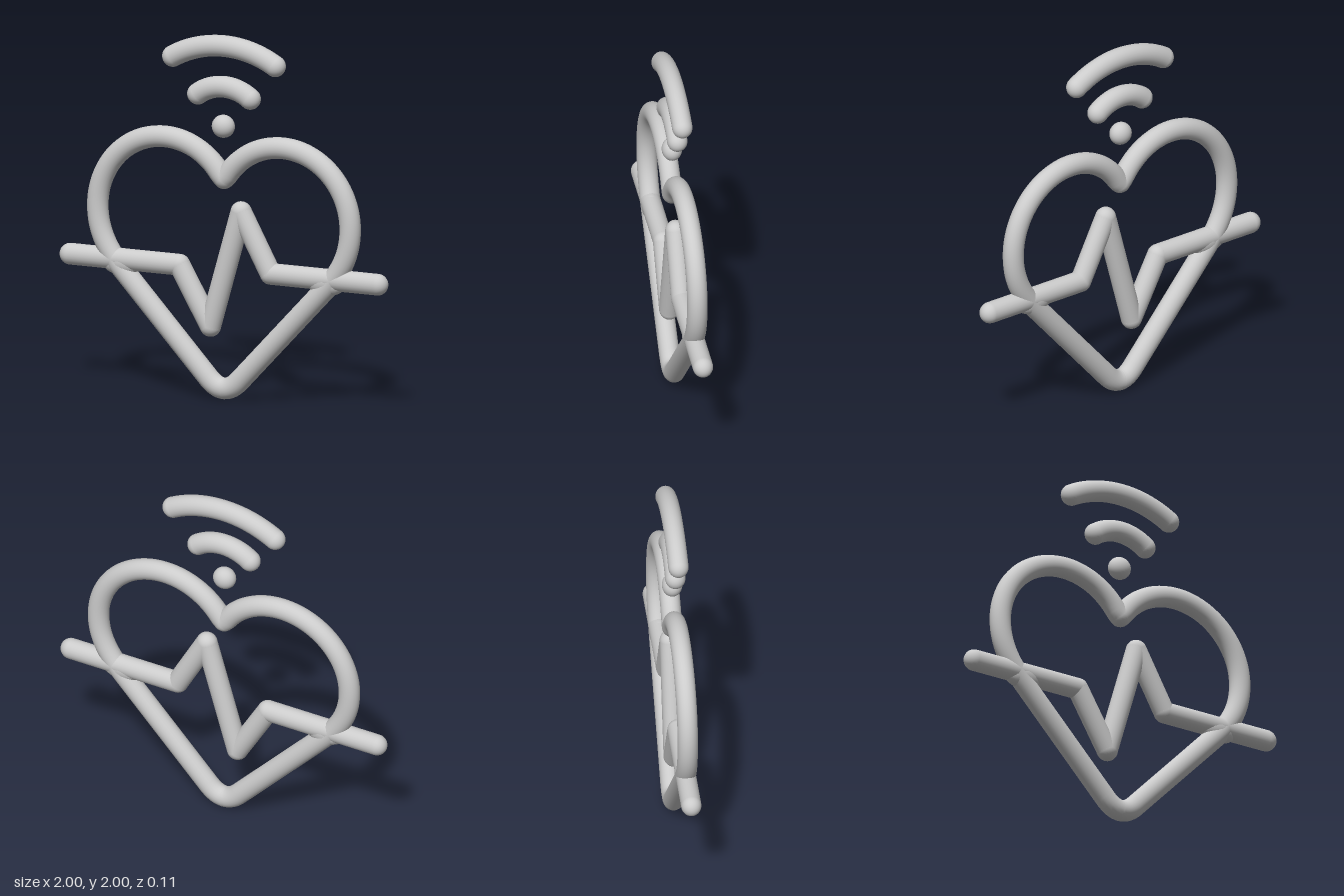
import * as THREE from 'three';
import { mergeGeometries } from 'three/addons/utils/BufferGeometryUtils.js';

const R = 0.059; // rod radius

export function createModel() {
  const model = new THREE.Group();
  const material = new THREE.MeshStandardMaterial({ color: 0xcccccc });

  const add = (name, parts) => {
    const mesh = new THREE.Mesh(mergeGeometries(parts), material);
    mesh.name = name;
    mesh.scale.z = 0.94; // rods are slightly flattened front to back
    model.add(mesh);
  };

  const ball = (x, y, rx = R, ry = R, rz = R) =>
    new THREE.SphereGeometry(1, 32, 20).scale(rx, ry, rz).translate(x, y, 0);

  // Round-ended rod swept along a planar path, optionally mirrored in x
  const rod = (path, steps, side = 1) => {
    const points = path.getSpacedPoints(steps).map(p => new THREE.Vector3(p.x * side, p.y, 0));
    const ends = [points[0], points[points.length - 1]];
    const tube = new THREE.TubeGeometry(new THREE.CatmullRomCurve3(points), steps * 2, R, 24);
    return [tube, ...ends.map(p => ball(p.x, p.y))];
  };

  // Heart outline: one half from the notch to the bottom tip, then mirrored
  const half = new THREE.Path();
  half.moveTo(0, 1.215);
  half.lineTo(0.024, 1.238);
  half.absarc(0.36, 1.0, 0.412, 2.51, 0, true);
  half.bezierCurveTo(0.772, 0.87, 0.72, 0.765, 0.62, 0.66);
  half.lineTo(0.09, 0.105);
  half.quadraticCurveTo(0.045, 0.06, 0, 0.06);
  add('heartOutline', [1, -1].flatMap(side => rod(half, 90, side)));

  // Heartbeat line: a capsule for every straight stretch
  const beat = [[-0.94, 0.715], [-0.272, 0.715], [-0.083, 0.396], [0.105, 1.038], [0.285, 0.715], [0.94, 0.715]];
  add('heartbeatLine', beat.slice(1).map(([x, y], i) => {
    const [px, py] = beat[i];
    const dx = x - px, dy = y - py;
    return new THREE.CapsuleGeometry(R, Math.hypot(dx, dy), 10, 24)
      .rotateZ(Math.atan2(dy, dx) - Math.PI / 2)
      .translate((x + px) / 2, (y + py) / 2, 0);
  }));

  // Soft swellings where the heartbeat line crosses the heart
  add('crossingBlends', [1, -1].map(side => ball(side * 0.625, 0.7, 0.12, 0.075, R)));

  // Signal symbol: two arcs above a dot
  const arc = (top, halfWidth, sag) => {
    const r = (halfWidth ** 2 + sag ** 2) / (2 * sag);
    const a = Math.asin(halfWidth / r);
    const path = new THREE.Path();
    path.absarc(0, top - r, r, Math.PI / 2 + a, Math.PI / 2 - a, true);
    return rod(path, 40);
  };
  add('outerSignalArc', arc(1.941, 0.313, 0.083));
  add('innerSignalArc', arc(1.717, 0.16, 0.052));
  add('signalDot', [ball(-0.004, 1.5, 0.065, 0.063, R)]);

  return model;
}
